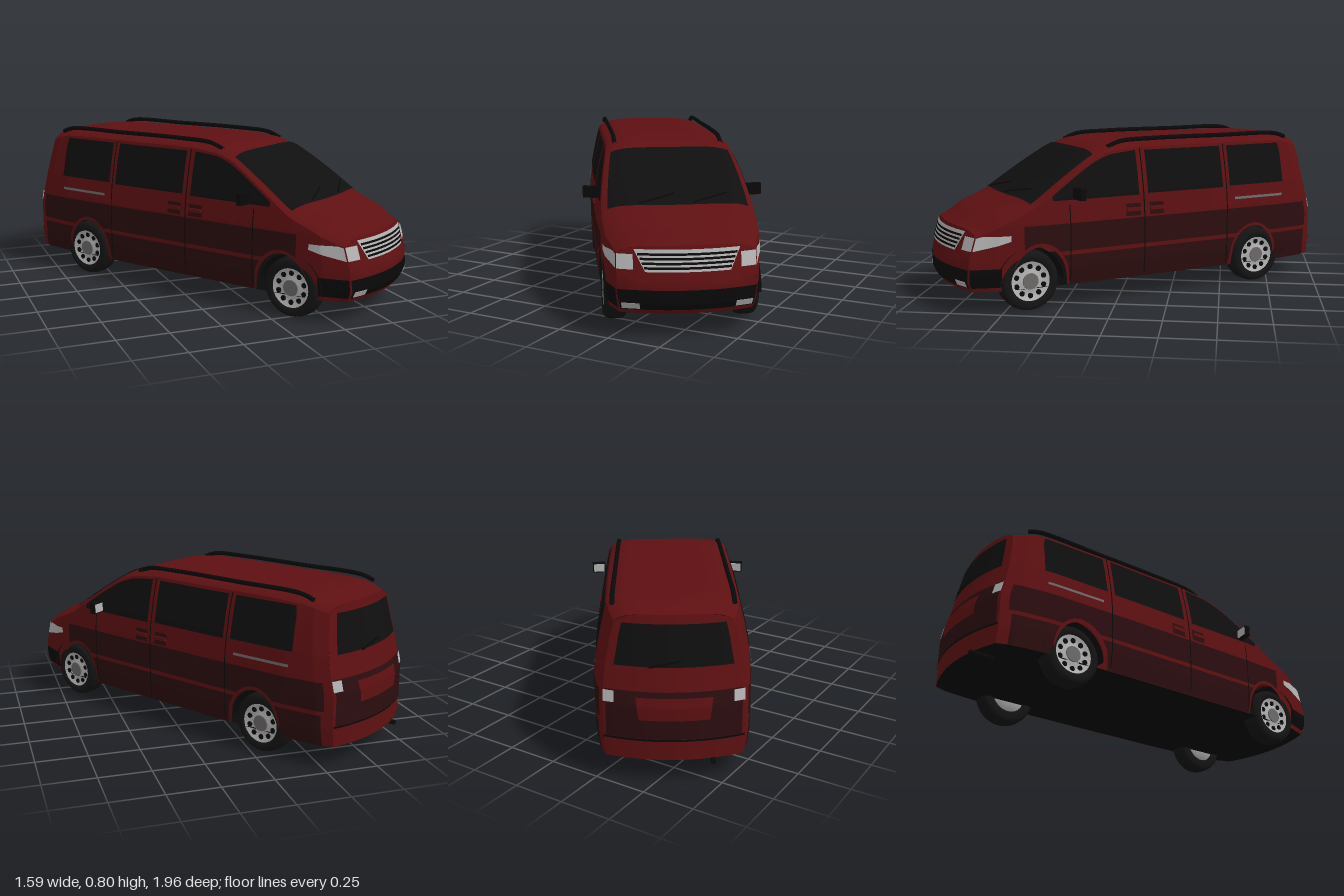
import * as THREE from 'three';
import { ParametricGeometry } from 'three/addons/geometries/ParametricGeometry.js';

const mat = (name, color) => Object.assign(new THREE.MeshStandardMaterial({ color, side: THREE.DoubleSide }), { name });
const { lerp, smoothstep, clamp } = THREE.MathUtils;

// Linear lookup in a table of [input, output] pairs
function table(rows, x) {
  if (x <= rows[0][0]) return rows[0][1];
  for (let i = 1; i < rows.length; i++) {
    const [a, p] = rows[i - 1], [b, q] = rows[i];
    if (x <= b) return lerp(p, q, (x - a) / (b - a));
  }
  return rows[rows.length - 1][1];
}

const REAR = -1.03, FRONT = 1.03, SILL = 0.11, BELT = 0.41;
const WHEELS = [0.685, -0.597], WHEEL_R = 0.145;
const ROOF = [[-1.03, 0.745], [-0.97, 0.765], [-0.88, 0.778], [-0.6, 0.785], [0.1, 0.785], [0.26, 0.768], [0.34, 0.738],
  [0.71, 0.525], [0.8, 0.49], [0.92, 0.448], [0.99, 0.422], [1.03, 0.4]];
const PLAN = [[-1.03, 0.31], [-0.97, 0.338], [-0.8, 0.357], [-0.3, 0.366], [0.5, 0.366], [0.75, 0.36], [0.92, 0.343], [1.03, 0.305]];
const TUCK = [[0.11, -0.012], [0.2, 0], [0.42, 0], [0.53, -0.012], [0.65, -0.036], [0.75, -0.062]];

// Centre-line height, crowned height and half width of the body
const topY = z => [-0.024, -0.012, 0, 0.012, 0.024].reduce((sum, d) => sum + table(ROOF, z + d) / 5, 0);
const skinY = (s, z) => topY(z) - 0.035 * Math.abs(s) ** 6;
const halfW = (z, y) => table(PLAN, z) + table(TUCK, y);
const archY = (z, r) => WHEELS.reduce((y, c) =>
  Math.abs(z - c) < r ? Math.max(y, WHEEL_R + Math.sqrt(r * r - (z - c) ** 2)) : y, SILL);

// Rounds the ends in plan and leans the nose and tail
function bend(x, y, z, out) {
  const k = smoothstep(Math.abs(z), 0.35, 0.98) * 0.65 * x * x;
  const tail = smoothstep(-z, 0.7, 1.03) * Math.max(0, y - 0.35) * 0.24;
  const nose = smoothstep(z, 0.85, 1.03) * (Math.max(0, y - 0.25) * 0.3 + Math.max(0, 0.16 - y) * 0.5);
  return out.set(x, y, z - Math.sign(z) * k + tail - nose);
}

export function createModel() {
  const model = new THREE.Group();
  const van = new THREE.Group();
  van.name = 'van';
  model.add(van);

  const red = mat('red paint', 0x5e1012), maroon = mat('dark maroon', 0x2c0d0f);
  const glass = mat('dark glass', 0x0f0f10), black = mat('black trim', 0x090909);
  const silver = mat('silver', 0xb4b4b4), grey = mat('grey metal', 0x6e6a6a), rubber = mat('tyre rubber', 0x141415);

  function add(name, geometry, material, parent = van) {
    const mesh = new THREE.Mesh(geometry, material);
    mesh.name = name;
    parent.add(mesh);
    return mesh;
  }
  const patch = (name, fn, nu, nv, m) => add(name, new ParametricGeometry(fn, nu, nv), m);

  // Patch of the body side between two edge functions of z
  function sidePatch(name, side, z0, z1, lo, hi, off, m, nu = 24, nv = 8) {
    patch(name, (a, b, out) => {
      const z = lerp(z0, z1, a), l = lo(z), y = lerp(l, Math.max(l, hi(z)), b);
      bend(side * (halfW(z, y) + off), y, z, out);
    }, nu, nv, m);
  }
  // Patch of the nose or tail; the lower edge can be narrower
  function endPatch(name, end, s0, s1, y0, y1, off, m, narrow = 1) {
    patch(name, (a, b, out) => {
      const s = lerp(s0, s1, a) * lerp(narrow, 1, b);
      const y = lerp(y0, Math.min(y1, skinY(s, end)), b);
      bend(s * halfW(end, y), y, end, out);
      out.z += Math.sign(end) * off;
    }, 16, 8, m);
  }
  // Patch of the roof, windscreen or bonnet
  function topPatch(name, z0, z1, s0, s1, off, m, nu = 24, nv = 24) {
    patch(name, (a, b, out) => {
      const s = lerp(s0, s1, a), z = lerp(z0, z1, b), y = skinY(s, z);
      bend(s * halfW(z, skinY(1, z)), y + off, z, out);
    }, nu, nv, m);
  }
  const flat = y => () => y;
  const edge = z => skinY(1, z);
  const glassTop = z => Math.min(0.735, edge(z) - 0.012);

  // Painted shell
  topPatch('roofAndBonnet', REAR, FRONT, -1, 1, 0, red, 32, 90);
  endPatch('nose', FRONT, -1, 1, SILL, 1, 0, red);
  endPatch('tail', REAR, -1, 1, SILL, 1, 0, red);
  patch('underbody', (a, b, out) => {
    const z = lerp(REAR, FRONT, a);
    bend(lerp(-1, 1, b) * halfW(z, SILL), SILL, z, out);
  }, 40, 8, black);

  for (const side of [1, -1]) {
    sidePatch('bodySide', side, REAR, FRONT, z => archY(z, 0.162), edge, 0, red, 180, 20);
    // Dark lower panels, with the bright rubbing strip left between
    sidePatch('lowerPanel', side, -0.99, 0.56, z => archY(z, 0.18), flat(0.257), 0.003, maroon, 140, 4);
    sidePatch('middlePanel', side, -1.0, 0.78, z => Math.max(0.277, archY(z, 0.18)), flat(BELT), 0.003, maroon, 140, 5);
    // Side windows
    sidePatch('rearSideWindow', side, -0.85, -0.42, flat(0.53), z => Math.min(0.735, 0.6 + (z + 0.88) * 3), 0.004, glass);
    sidePatch('middleSideWindow', side, -0.375, 0.065, flat(0.525), glassTop, 0.004, glass);
    sidePatch('frontSideWindow', side, 0.115, 0.6, flat(0.52), glassTop, 0.004, glass);
    // Door gaps, sliding rail and handles
    for (const z of [-0.397, 0.09]) sidePatch('doorGap', side, z - 0.003, z + 0.003, flat(0.13), flat(0.745), 0.005, black, 1, 16);
    sidePatch('frontDoorGap', side, 0.497, 0.503, flat(0.13), flat(0.5), 0.005, black, 1, 12);
    sidePatch('slidingRail', side, -0.83, -0.45, flat(0.457), flat(0.47), 0.006, grey, 20, 1);
    for (const z of [0.02, 0.15]) {
      sidePatch('handleRecess', side, z - 0.04, z + 0.04, flat(0.42), flat(0.48), 0.004, maroon, 4, 2);
      add('doorHandle', new THREE.BoxGeometry(0.014, 0.018, 0.075), red).position.set(side * 0.368, 0.452, z);
    }
    // Headlamps wrap around the corner
    sidePatch('headlampSide', side, 0.85, FRONT, z => lerp(0.345, 0.305, (z - 0.85) / 0.18), z => Math.min(0.372, edge(z) - 0.004), 0.004, silver);
    endPatch('headlampFront', FRONT, side * 0.77, side, 0.305, 0.368, 0.004, silver);
    endPatch('fogLamp', FRONT, side * 0.7, side * 0.96, 0.135, 0.163, 0.009, silver);
    sidePatch('bumperTrim', side, 0.9, FRONT, flat(0.13), flat(0.22), 0.004, black, 8, 4);
    // Tail lamps
    endPatch('tailLamp', REAR, side * 0.84, side, 0.37, 0.42, 0.006, silver);
    // Roof rails
    const railPoints = [-0.82, -0.76, -0.4, 0, 0.18, 0.25].map((z, i) =>
      new THREE.Vector3(side * 0.267, skinY(0.88, z) + (i % 5 ? 0.018 : 0), z));
    add('roofRail', new THREE.TubeGeometry(new THREE.CatmullRomCurve3(railPoints), 30, 0.011, 8), black);
    // Mirrors
    const mirror = new THREE.Group();
    mirror.name = 'mirror';
    mirror.position.set(side * 0.395, 0.55, 0.45);
    mirror.rotation.y = side * 0.15;
    van.add(mirror);
    add('mirrorShell', new THREE.BoxGeometry(0.07, 0.055, 0.03), black, mirror);
    add('mirrorGlass', new THREE.BoxGeometry(0.06, 0.044, 0.004), silver, mirror).position.z = -0.016;
    add('mirrorArm', new THREE.BoxGeometry(0.06, 0.018, 0.02), black, mirror).position.set(side * -0.05, -0.018, 0);
    for (const z of WHEELS) van.add(makeWheel(side, z));
  }

  // Windscreen with wipers
  topPatch('windscreen', 0.335, 0.715, -0.92, 0.92, 0.005, glass);
  for (const s of [-0.55, 0.2]) {
    const points = [0, 0.5, 1].map(t => {
      const z = lerp(0.71, 0.65, t), x = s + t * 0.5;
      return bend(x * 0.33, skinY(x, z) + 0.012, z, new THREE.Vector3());
    });
    add('wiper', new THREE.TubeGeometry(new THREE.CatmullRomCurve3(points), 8, 0.004, 5), black);
  }

  // Grille with slats, and lower air intake
  endPatch('grille', FRONT, -0.76, 0.76, 0.297, 0.39, 0.006, silver, 0.8);
  for (let i = 0; i < 4; i++) {
    const y = 0.308 + i * 0.019, w = 0.62 + i * 0.03;
    endPatch('grilleSlot', FRONT, -w, w, y, y + 0.01, 0.009, black);
  }
  endPatch('lowerIntake', FRONT, -1, 1, 0.13, 0.22, 0.005, black, 0.98);

  // Tailgate
  endPatch('rearWindow', REAR, -0.87, 0.87, 0.53, 0.71, 0.005, glass);
  endPatch('tailgateLower', REAR, -0.96, 0.96, 0.21, 0.425, 0.003, maroon);
  endPatch('plateRecess', REAR, -0.54, 0.54, 0.3, 0.4, 0.006, red, 0.93);
  endPatch('bumperGap', REAR, -1, 1, 0.2, 0.21, 0.005, black);
  const rearWiper = add('rearWiper', new THREE.BoxGeometry(0.14, 0.008, 0.008), black);
  rearWiper.position.set(0.04, 0.545, -0.99);
  rearWiper.rotation.z = -0.2;
  const exhaust = add('exhaust', new THREE.CylinderGeometry(0.012, 0.012, 0.12, 12), black);
  exhaust.position.set(-0.17, 0.1, -0.97);
  exhaust.rotation.x = Math.PI / 2;

  // Wheel built around y, then turned so +y points outwards
  function makeWheel(side, z) {
    const wheel = new THREE.Group();
    wheel.name = 'wheel';
    wheel.position.set(side * 0.3, WHEEL_R, z);
    wheel.rotation.z = -side * Math.PI / 2;
    const tyre = [[0.09, -0.05], [0.125, -0.052], [0.14, -0.04], [0.145, -0.02], [0.145, 0.02], [0.14, 0.04], [0.125, 0.054], [0.096, 0.05], [0.09, 0.035]];
    add('tyre', new THREE.LatheGeometry(tyre.map(p => new THREE.Vector2(...p)), 36), rubber, wheel);
    const rim = [[0, 0.046], [0.045, 0.046], [0.052, 0.036], [0.08, 0.04], [0.094, 0.05], [0.097, 0.046], [0.09, -0.04], [0, -0.04]];
    add('rim', new THREE.LatheGeometry(rim.map(p => new THREE.Vector2(...p)), 32), silver, wheel);
    add('hubCap', new THREE.CylinderGeometry(0.038, 0.042, 0.01, 24), grey, wheel).position.y = 0.045;
    for (let i = 0; i < 10; i++) {
      const a = i * Math.PI / 5;
      add('rimHole', new THREE.CylinderGeometry(0.013, 0.013, 0.006, 10), black, wheel)
        .position.set(Math.cos(a) * 0.071, 0.0395, Math.sin(a) * 0.071);
    }
    // Dark wheel well, upper half only
    const well = new THREE.Group();
    well.name = 'wheelWell';
    well.position.set(side * 0.28, WHEEL_R, z);
    van.add(well);
    const liner = add('wellLiner', new THREE.CylinderGeometry(0.163, 0.163, 0.15, 28, 1, true, 0, Math.PI), black, well);
    liner.rotation.z = Math.PI / 2;
    const back = add('wellBack', new THREE.CircleGeometry(0.163, 28, 0, Math.PI), black, well);
    back.rotation.y = Math.PI / 2;
    back.position.x = -side * 0.074;
    return wheel;
  }

  // The van stands at an angle
  van.rotation.y = 0.586;
  return model;
}
